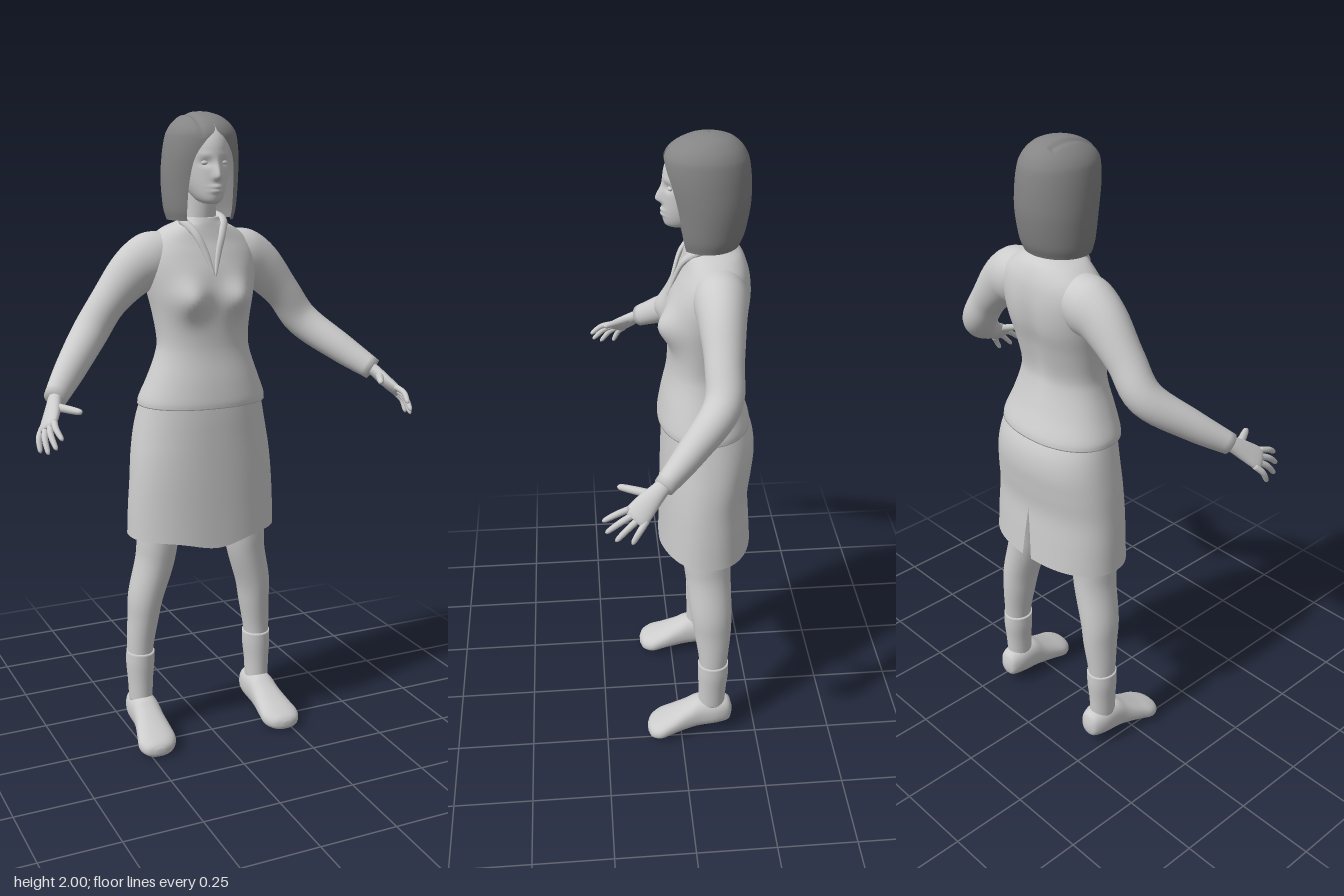
import * as THREE from 'three';

const paleGrey = new THREE.MeshStandardMaterial({ color: 0xcccccc, side: THREE.DoubleSide });
paleGrey.name = 'pale grey';
const hairGrey = new THREE.MeshStandardMaterial({ color: 0x858585, side: THREE.DoubleSide });
hairGrey.name = 'hair grey';

// Smoothly interpolates rows of numbers, k steps between neighbours.
function smooth(rows, k) {
  const out = [];
  const last = rows.length - 1;
  for (let i = 0; i < last; i++) {
    for (let s = 0; s < k; s++) {
      const t = s / k;
      out.push(rows[i].map((p1, c) => {
        const p2 = rows[i + 1][c];
        const p0 = i > 0 ? rows[i - 1][c] : 2 * p1 - p2;
        const p3 = i + 2 <= last ? rows[i + 2][c] : 2 * p2 - p1;
        return 0.5 * (2 * p1 + (p2 - p0) * t + (2 * p0 - 5 * p1 + 4 * p2 - p3) * t * t
          + (3 * p1 - p0 - 3 * p2 + p3) * t * t * t);
      }));
    }
  }
  out.push(rows[last]);
  return out;
}

// Joins rings of points into a skin; closed rings may be capped.
function loft(rings, { open = false, cap = true } = {}) {
  const n = rings[0].length;
  const pos = rings.flat().flatMap((p) => [p.x, p.y, p.z]);
  const index = [];
  const cols = open ? n - 1 : n;
  for (let i = 0; i < rings.length - 1; i++) {
    for (let j = 0; j < cols; j++) {
      const a = i * n + j, b = i * n + (j + 1) % n;
      index.push(a, b, a + n, b, b + n, a + n);
    }
  }
  if (cap && !open) {
    for (const i of [0, rings.length - 1]) {
      const mid = rings[i].reduce((m, p) => m.add(p), new THREE.Vector3()).divideScalar(n);
      const c = pos.length / 3;
      pos.push(mid.x, mid.y, mid.z);
      for (let j = 0; j < n; j++) {
        const a = i * n + j, b = i * n + (j + 1) % n;
        if (i === 0) index.push(c, b, a); else index.push(c, a, b);
      }
    }
  }
  const g = new THREE.BufferGeometry();
  g.setAttribute('position', new THREE.Float32BufferAttribute(pos, 3));
  g.setIndex(index);
  g.computeVertexNormals();
  return g;
}

const pw = (v, p) => Math.sign(v) * Math.abs(v) ** p;
const bump = (d, width) => Math.exp(-((d / width) ** 2));

// Tube along rows of [x, y, z, radiusAcross, radiusDeep].
function sweep(rows, { ref = [0, 0, 1], seg = 24, k = 6 } = {}) {
  const r = smooth(rows, k);
  const at = (i) => new THREE.Vector3(...r[Math.min(Math.max(i, 0), r.length - 1)].slice(0, 3));
  return loft(r.map((row, i) => {
    const t = at(i + 1).sub(at(i - 1)).normalize();
    const b = new THREE.Vector3(...ref);
    b.addScaledVector(t, -b.dot(t)).normalize();
    const a = b.clone().cross(t);
    return Array.from({ length: seg }, (_, j) => {
      const q = j / seg * Math.PI * 2;
      return at(i).addScaledVector(a, row[3] * Math.cos(q)).addScaledVector(b, row[4] * Math.sin(q));
    });
  }));
}

// Level rings from rows of [y, halfWidth, zBack, zFront, gap]; shape(p) sculpts each point.
// gapAt is the angle where an open skin parts: 0 at the front, PI at the back.
function stack(rows, { seg = 64, k = 6, p = 1, shape = () => {}, open = false, gapAt = 0, cap = true } = {}) {
  return loft(smooth(rows, k).map(([y, rx, zb, zf, gap = 0]) => {
    const g = Math.max(gap, 0);
    return Array.from({ length: open ? seg + 1 : seg }, (_, j) => {
      const q = gapAt + g + j / seg * (Math.PI * 2 - 2 * g);
      const v = new THREE.Vector3(rx * pw(Math.sin(q), p), y, (zb + zf) / 2 + (zf - zb) / 2 * pw(Math.cos(q), p));
      shape(v);
      return v;
    });
  }), { open, cap });
}

export function createModel() {
  const model = new THREE.Group();
  model.name = 'woman';
  const add = (name, geometry, material = paleGrey, parent = model) => {
    const m = new THREE.Mesh(geometry, material);
    m.name = name;
    parent.add(m);
    return m;
  };

  // Jacket body with bust and a shallow spine groove
  add('jacket', stack([
    [1.115, .208, -.226, .056], [1.14, .204, -.22, .055], [1.2, .18, -.195, .045], [1.27, .155, -.175, .03],
    [1.32, .148, -.172, .025], [1.4, .158, -.19, .025], [1.47, .172, -.21, .028], [1.53, .182, -.217, .02],
    [1.58, .182, -.215, .002], [1.62, .16, -.207, -.015], [1.655, .115, -.19, -.025],
    [1.675, .07, -.165, -.03], [1.69, .054, -.15, -.035],
  ], {
    p: .92, seg: 80, shape: (v) => {
      if (v.z > -.08) v.z += .04 * (bump(v.x - .08, .05) + bump(v.x + .08, .05)) * bump(v.y - 1.45, .055);
      else v.z += .014 * bump(v.x, .035) * bump(v.y - 1.42, .15);
    },
  }));

  // Skirt with a dipping front hem and a slit at the back
  add('skirt', stack([
    [.69, .247, -.237, .055, .06], [.78, .244, -.231, .052, .03], [.87, .238, -.226, .05, 0],
    [.95, .231, -.235, .048, 0], [1.02, .22, -.242, .046, 0], [1.08, .208, -.235, .044, 0], [1.14, .194, -.21, .04, 0],
  ], {
    p: .9, seg: 80, open: true, gapAt: Math.PI, shape: (v) => {
      if (v.z > -.05) v.y -= .028 * bump(v.x, .1) * Math.max(0, 1 - (v.y - .69) / .15);
    },
  }));

  // Neck and head with sculpted face
  add('neck', sweep([[0, 1.62, -.1, .052, .05], [0, 1.7, -.085, .046, .05], [0, 1.78, -.075, .047, .052]]));
  add('head', stack([
    [1.733, .018, -.045, .018], [1.74, .032, -.075, .03], [1.755, .044, -.105, .036], [1.78, .056, -.14, .038],
    [1.81, .065, -.165, .038], [1.85, .072, -.185, .037], [1.9, .076, -.19, .034], [1.94, .07, -.18, .015],
    [1.97, .045, -.15, -.02],
  ], {
    seg: 112, k: 8, shape: (v) => {
      if (v.z < -.03) return;
      const { x, y } = v;
      v.z += .02 * bump(x, .012) * bump(y - 1.814, y > 1.814 ? .034 : .01);
      v.z += .006 * bump(x, .02) * (bump(y - 1.784, .006) + bump(y - 1.771, .006));
      for (const s of [-1, 1]) {
        v.z -= .009 * bump(x - s * .03, .015) * bump(y - 1.853, .01);
        v.z += .003 * bump(x - s * .032, .02) * bump(y - 1.877, .006);
      }
    },
  }));

  // Bobbed hair, open round the face, with an off-centre parting
  add('hair', stack([
    [1.682, .104, -.183, 0, .74], [1.72, .113, -.198, .01, .71], [1.8, .118, -.212, .022, .65],
    [1.87, .115, -.212, .034, .55], [1.92, .108, -.206, .036, .28], [1.945, .1, -.197, .03, .04],
    [1.967, .084, -.182, .012, 0], [1.986, .06, -.157, -.02, 0], [1.997, .028, -.123, -.057, 0],
    [2, .002, -.092, -.088, 0],
  ], {
    seg: 96, open: true, shape: (v) => {
      if (v.y > 1.93 && v.z > -.15) v.y -= .006 * bump(v.x + .04, .008);
    },
  }), hairGrey);

  for (const s of [1, -1]) {
    const side = s > 0 ? 'left' : 'right';
    const flip = (rows) => rows.map(([x, ...rest]) => [x * s, ...rest]);

    // Eye and collar half
    const eye = add(side + 'Eye', new THREE.SphereGeometry(.01, 16, 12));
    eye.scale.set(1.2, .7, .8);
    eye.position.set(s * .03, 1.853, .017);
    add(side + 'Collar', sweep(flip([
      [0, 1.695, -.155, .016, .008], [.05, 1.69, -.125, .016, .01], [.066, 1.68, -.07, .014, .012],
      [.045, 1.645, -.022, .012, .008], [.022, 1.59, .002, .01, .006], [.002, 1.52, .022, .004, .004],
    ]), { seg: 12 }));

    // Sleeve
    add(side + 'Sleeve', sweep(flip([
      [.08, 1.585, -.115, .065, .07], [.15, 1.56, -.115, .088, .078], [.215, 1.525, -.113, .076, .068],
      [.296, 1.44, -.11, .057, .056], [.365, 1.345, -.098, .055, .054], [.457, 1.262, -.005, .047, .043],
      [.53, 1.2, .078, .035, .03],
    ]), { seg: 32 }));

    // Hand: palm, four fingers and thumb
    const hand = new THREE.Group();
    hand.name = side + 'Hand';
    model.add(hand);
    const ref = [.77 * s, .63, .03];
    add('palm', sweep(flip([
      [.515, 1.213, .062, .024, .02], [.532, 1.197, .085, .024, .019], [.553, 1.168, .122, .032, .018],
      [.574, 1.142, .153, .036, .014], [.58, 1.134, .163, .026, .008],
    ]), { ref }), paleGrey, hand);
    const fingers = {
      indexFinger: [[.561, 1.157, .172], [.56, 1.12, .245]],
      middleFinger: [[.57, 1.147, .158], [.576, 1.093, .238]],
      ringFinger: [[.577, 1.139, .143], [.592, 1.075, .212]],
      littleFinger: [[.584, 1.131, .128], [.602, 1.07, .168]],
      thumb: [[.538, 1.185, .108], [.488, 1.183, .2]],
    };
    for (const [name, [from, to]] of Object.entries(fingers)) {
      const r = name === 'thumb' ? .012 : .0095;
      const lift = name === 'thumb' ? 0 : .007;
      const rows = [[0, r], [.5, r * .95], [.9, r * .75], [1, r * .25]].map(([t, w]) => [
        ...from.map((v, c) => v + (to[c] - v) * t + (c < 2 ? lift * Math.sin(Math.PI * t) : 0)), w, w]);
      add(name, sweep(flip(rows), { ref, seg: 12, k: 4 }), paleGrey, hand);
    }

    // Leg and ankle cuff
    add(side + 'Leg', sweep(flip([
      [.115, .95, -.09, .085, .09], [.15, .7, -.088, .068, .078], [.162, .6, -.092, .062, .072],
      [.192, .48, -.1, .056, .066], [.201, .4, -.105, .05, .059], [.211, .3, -.107, .043, .047],
      [.213, .2, -.105, .036, .042], [.213, .1, -.103, .034, .04],
    ])));
    add(side + 'Cuff', sweep(flip([
      [.211, .285, -.107, .046, .05], [.212, .24, -.107, .046, .05], [.213, .18, -.105, .041, .046],
      [.213, .11, -.103, .038, .044],
    ])));

    // Shoe, lofted from heel to toe: z, x, bottom, top, halfWidth
    add(side + 'Shoe', loft(smooth([
      [-.172, .21, .062, .09, .012], [-.16, .21, .036, .122, .034], [-.12, .211, .029, .134, .046],
      [-.06, .212, .022, .134, .047], [-.02, .214, .016, .112, .05], [.03, .218, .009, .085, .059],
      [.07, .222, .001, .066, .063], [.1, .225, .003, .05, .045], [.112, .226, .014, .035, .015],
    ], 5).map(([z, x, y0, y1, rx]) => Array.from({ length: 32 }, (_, j) => {
      const q = j / 16 * Math.PI;
      return new THREE.Vector3(s * x + rx * pw(Math.cos(q), .85), (y0 + y1) / 2 + (y1 - y0) / 2 * pw(Math.sin(q), .85), z);
    }))));
  }
  return model;
}
